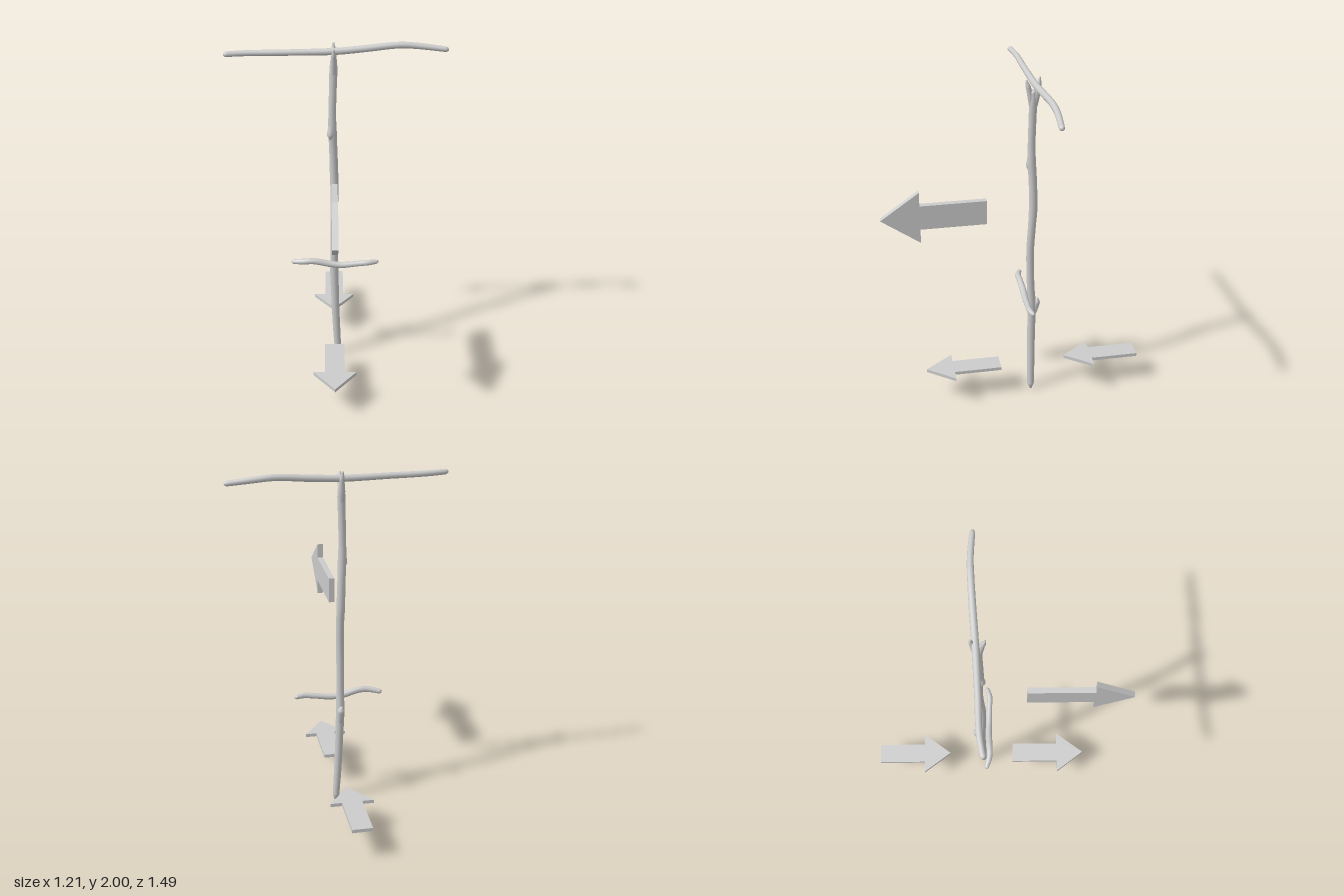
import * as THREE from 'three';

const grey = new THREE.MeshStandardMaterial({ color: 0xcccccc });
grey.name = 'plain grey';

// Round stick of varying thickness through stations [x, y, z, radius], with rounded ends.
function stick(name, stations, side = new THREE.Vector3(1, 0, 0), sides = 14, squash = 1) {
  const curve = new THREE.CatmullRomCurve3(stations.map(s => new THREE.Vector3(s[0], s[1], s[2])), false, 'centripetal');
  const last = stations.length - 1, steps = last * 5;
  const pos = [], index = [];
  for (let i = 0; i <= steps; i++) {
    const t = i / steps, k = Math.min(Math.floor(t * last), last - 1);
    const r = THREE.MathUtils.lerp(stations[k][3], stations[k + 1][3], THREE.MathUtils.smoothstep(t * last - k, 0, 1));
    const p = curve.getPoint(t), tangent = curve.getTangent(t);
    const u = side.clone().addScaledVector(tangent, -side.dot(tangent)).normalize();
    const v = new THREE.Vector3().crossVectors(tangent, u);
    for (let j = 0; j < sides; j++) {
      const a = j / sides * Math.PI * 2;
      const q = p.clone().addScaledVector(u, r * Math.cos(a)).addScaledVector(v, r * squash * Math.sin(a));
      pos.push(q.x, q.y, q.z);
    }
  }
  for (let i = 0; i < steps; i++) for (let j = 0; j < sides; j++) {
    const a = i * sides + j, b = i * sides + (j + 1) % sides;
    index.push(a, b, a + sides, b, b + sides, a + sides);
  }
  // End caps
  const n = pos.length / 3, p0 = curve.getPoint(0), p1 = curve.getPoint(1);
  pos.push(p0.x, p0.y, p0.z, p1.x, p1.y, p1.z);
  for (let j = 0; j < sides; j++) {
    const k = (j + 1) % sides, e = steps * sides;
    index.push(n, k, j, n + 1, e + j, e + k);
  }
  const g = new THREE.BufferGeometry();
  g.setAttribute('position', new THREE.Float32BufferAttribute(pos, 3));
  g.setIndex(index);
  g.computeVertexNormals();
  const mesh = new THREE.Mesh(g, grey);
  mesh.name = name;
  return mesh;
}

// Flat arrow pointing along +x, centred on its thickness.
function arrow(name, length, head, halfShaft, halfHead, thickness) {
  const neck = length - head;
  const shape = new THREE.Shape([
    [0, -halfShaft], [neck, -halfShaft], [neck, -halfHead], [length, 0],
    [neck, halfHead], [neck, halfShaft], [0, halfShaft],
  ].map(([x, y]) => new THREE.Vector2(x, y)));
  const g = new THREE.ExtrudeGeometry(shape, { depth: thickness, bevelEnabled: false });
  g.translate(0, 0, -thickness / 2);
  g.rotateY(-Math.PI / 2); // point towards the front
  const mesh = new THREE.Mesh(g, grey);
  mesh.name = name;
  return mesh;
}

export function createModel() {
  const model = new THREE.Group();
  model.name = 'stickFrameWithArrows';
  const zSide = new THREE.Vector3(0, 0, 1);

  // Upright branch
  model.add(stick('post', [
    [0.012, 0.005, -0.098, 0.009], [0.009, 0.04, -0.098, 0.02], [0, 0.2, -0.1, 0.022],
    [-0.008, 0.4, -0.102, 0.023], [-0.013, 0.58, -0.105, 0.025], [-0.014, 0.72, -0.098, 0.022],
    [-0.014, 0.95, -0.094, 0.022], [-0.012, 1.1, -0.102, 0.022], [-0.014, 1.22, -0.109, 0.024],
    [-0.019, 1.4, -0.106, 0.023], [-0.023, 1.5, -0.1, 0.024], [-0.024, 1.6, -0.099, 0.021],
    [-0.02, 1.75, -0.102, 0.021], [-0.017, 1.85, -0.104, 0.022], [-0.016, 1.92, -0.104, 0.017],
  ]));

  // Fork that cradles the crossbar
  const fork = new THREE.Group();
  fork.name = 'fork';
  fork.add(
    stick('frontProng', [[-0.018, 1.8, -0.1, 0.014], [-0.017, 1.88, -0.09, 0.016],
      [-0.016, 1.94, -0.078, 0.014], [-0.016, 1.98, -0.067, 0.006]]),
    stick('backProng', [[-0.018, 1.8, -0.106, 0.014], [-0.017, 1.88, -0.12, 0.018],
      [-0.015, 1.95, -0.133, 0.014], [-0.018, 1.995, -0.14, 0.006]]),
  );
  model.add(fork);

  // Stubs of cut side twigs
  model.add(
    stick('lowerKnot', [[-0.013, 0.49, -0.108, 0.01], [-0.013, 0.55, -0.122, 0.018],
      [-0.013, 0.6, -0.134, 0.02], [-0.013, 0.625, -0.138, 0.009]]),
    stick('upperKnot', [[-0.022, 1.6, -0.1, 0.01], [-0.028, 1.53, -0.096, 0.018],
      [-0.033, 1.48, -0.09, 0.02], [-0.033, 1.45, -0.089, 0.009]]),
  );

  // Long branch across the top
  model.add(stick('crossbar', [
    [-0.602, 1.953, -0.076, 0.008], [-0.59, 1.953, -0.08, 0.015], [-0.48, 1.953, -0.097, 0.016],
    [-0.3, 1.953, -0.103, 0.017], [0, 1.955, -0.116, 0.019], [0.15, 1.966, -0.126, 0.019],
    [0.34, 1.982, -0.136, 0.018], [0.44, 1.976, -0.138, 0.017],
    [0.585, 1.961, -0.128, 0.015], [0.602, 1.96, -0.126, 0.008],
  ], zSide));

  // Short bent branch in front of the post
  model.add(stick('shortBar', [
    [-0.262, 0.674, -0.076, 0.007], [-0.25, 0.675, -0.073, 0.014], [-0.19, 0.685, -0.056, 0.017],
    [-0.13, 0.687, -0.056, 0.018], [-0.04, 0.667, -0.06, 0.019], [0.03, 0.66, -0.058, 0.018],
    [0.12, 0.67, -0.055, 0.016], [0.185, 0.678, -0.053, 0.016],
    [0.23, 0.677, -0.065, 0.013], [0.242, 0.677, -0.07, 0.007],
  ], zSide));

  // Upright arrow in front, and two arrows lying flat near the ground
  const high = arrow('highArrow', 0.59, 0.218, 0.072, 0.155, 0.033);
  high.position.set(-0.013, 1.226, 0.155);
  model.add(high);
  for (const [name, z] of [['lowFrontArrow', 0.087], ['lowBackArrow', -0.745]]) {
    const low = arrow(name, 0.44, 0.162, 0.057, 0.123, 0.02);
    low.rotation.z = Math.PI / 2;
    low.position.set(-0.012, 0.19, z);
    model.add(low);
  }
  return model;
}
